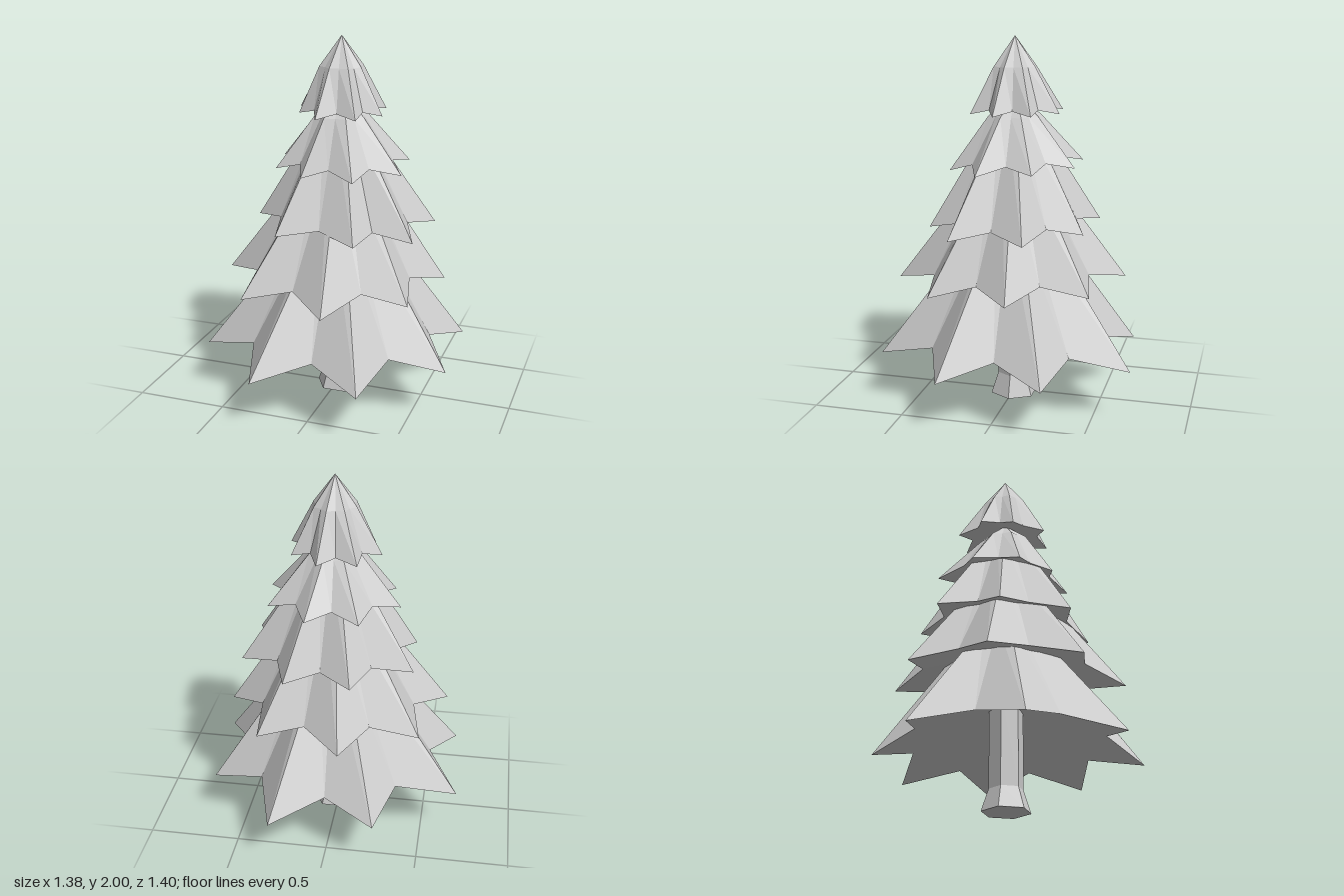
import * as THREE from 'three';

const CX = 0.021, CZ = -0.008; // trunk axis

// Each tier: branch tips [x, z] by growing angle, heights, shoulder ring, hollow height and lean of the rim
const TIERS = [
  { name: 'bottomBranches', tipY: 0.28, valleyY: 0.362, valley: 0.72, ringR: 0.18, ringY: 1.0, apexY: 1.1, underY: 0.58, lean: [0, 0],
    tips: [[0.69, 0.24], [0.33, 0.67], [-0.245, 0.7], [-0.665, 0.305], [-0.695, -0.275], [-0.27, -0.64], [0.28, -0.7], [0.665, -0.305]] },
  { name: 'lowerBranches', tipY: 0.682, valleyY: 0.738, valley: 0.74, ringR: 0.16, ringY: 1.3, apexY: 1.4, underY: 0.9, lean: [0, -0.03],
    tips: [[0.5, 0.34], [0.125, 0.63], [-0.36, 0.52], [-0.605, 0.095], [-0.48, -0.37], [-0.08, -0.61], [0.37, -0.49], [0.59, -0.1]] },
  { name: 'middleBranches', tipY: 0.998, valleyY: 1.035, valley: 0.74, ringR: 0.13, ringY: 1.54, apexY: 1.66, underY: 1.16, lean: [-0.035, -0.01],
    tips: [[0.49, 0.23], [0.225, 0.415], [-0.2, 0.42], [-0.42, 0.1], [-0.43, -0.24], [-0.12, -0.455], [0.235, -0.43], [0.51, -0.17]] },
  { name: 'upperBranches', tipY: 1.308, valleyY: 1.345, valley: 0.74, ringR: 0.145, ringY: 1.58, apexY: 1.7, underY: 1.45, lean: [0, -0.045],
    tips: [[0.39, 0.11], [0.185, 0.31], [-0.1, 0.3], [-0.29, 0.17], [-0.34, -0.08], [-0.15, -0.35], [0.13, -0.36], [0.355, -0.18]] },
  { name: 'topBranches', tipY: 1.597, valleyY: 1.62, valley: 0.72, ringR: 0.12, ringY: 1.84, apexY: 2.0, underY: 1.68, lean: [0, -0.01],
    tips: [[0.265, 0.05], [0.165, 0.2], [-0.04, 0.24], [-0.18, 0.1], [-0.235, -0.07], [-0.125, -0.24], [0.08, -0.265], [0.23, -0.145]] },
];

const at = (angle, r, y, [lx, lz] = [0, 0]) => {
  const x = r * Math.cos(angle), z = r * Math.sin(angle);
  return [CX + x, y + lx * x + lz * z, CZ + z];
};

// Star-shaped skirt: pointed rim, shoulder ring, apex and hollow underside
function tierGeometry(t) {
  const polar = t.tips.map(([x, z]) => ({ a: Math.atan2(z - CZ, x - CX), r: Math.hypot(x - CX, z - CZ) }));
  const rim = [], ring = [];
  polar.forEach((p, i) => {
    const q = polar[(i + 1) % polar.length];
    const turn = (q.a - p.a + Math.PI * 4) % (Math.PI * 2);
    const mid = p.a + turn / 2;
    rim.push(at(p.a, p.r, t.tipY, t.lean), at(mid, t.valley * (p.r + q.r) / 2, t.valleyY, t.lean));
    ring.push(at(p.a, t.ringR, t.ringY), at(mid, t.ringR * 0.86, t.ringY));
  });
  const apex = [CX, t.apexY, CZ], under = [CX, t.underY, CZ];
  const pos = [];
  const tri = (...corners) => corners.forEach((c) => pos.push(...c));
  for (let i = 0; i < rim.length; i++) {
    const j = (i + 1) % rim.length;
    tri(rim[i], ring[i], ring[j]);
    tri(rim[i], ring[j], rim[j]);
    tri(ring[i], apex, ring[j]);
    tri(rim[i], rim[j], under);
  }
  const g = new THREE.BufferGeometry();
  g.setAttribute('position', new THREE.Float32BufferAttribute(pos, 3));
  g.computeVertexNormals();
  return g;
}

export function createModel() {
  const group = new THREE.Group();
  group.name = 'pineTree';
  const grey = new THREE.MeshStandardMaterial({ color: 0xcccccc, flatShading: true });
  grey.name = 'light grey';

  // Six-sided trunk with a flared foot
  const profile = [[0, 0.01], [0.133, 0], [0.093, 0.12], [0.093, 0.62], [0, 0.62]].map(([r, y]) => new THREE.Vector2(r, y));
  const trunk = new THREE.Mesh(new THREE.LatheGeometry(profile, 6, Math.PI / 6), grey);
  trunk.name = 'trunk';
  trunk.position.set(0.018, 0, -0.003);
  group.add(trunk);

  // Five stacked branch tiers
  for (const t of TIERS) {
    const mesh = new THREE.Mesh(tierGeometry(t), grey);
    mesh.name = t.name;
    group.add(mesh);
  }
  return group;
}
